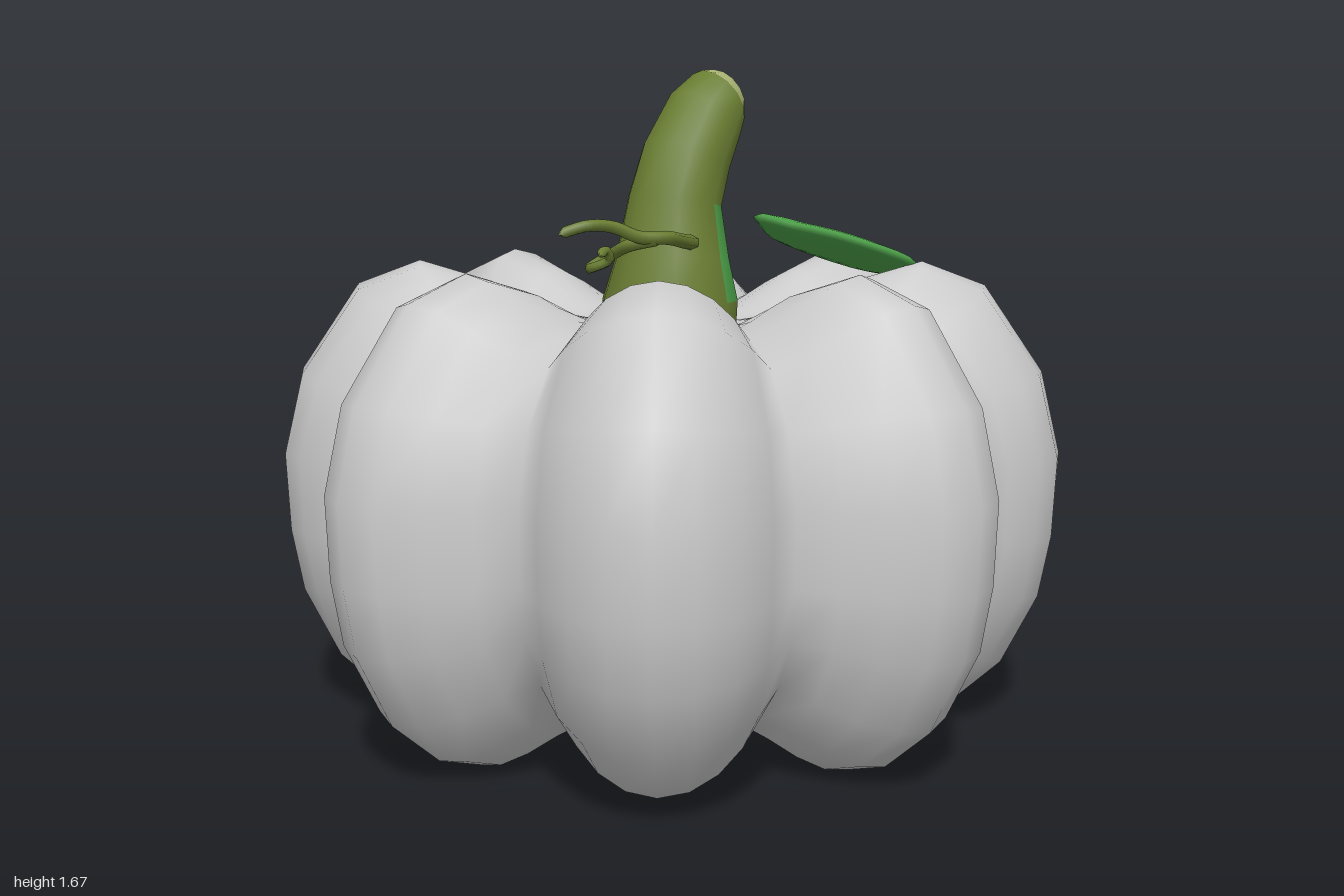
import * as THREE from 'three';
import { mergeVertices } from 'three/addons/utils/BufferGeometryUtils.js';

const paint = (name, color) => {
  const m = new THREE.MeshStandardMaterial({ color });
  m.name = name;
  return m;
};

const V = (x, y, z) => new THREE.Vector3(x, y, z);

// Skin closed rings (bottom to top, counter-clockwise from above).
// pick(row, column) may send a quad to material group 1.
function loft(rings, pick = () => 0) {
  const n = rings[0].length, lists = [[], []];
  for (let i = 0; i < rings.length - 1; i++) {
    for (let j = 0; j < n; j++) {
      const k = (j + 1) % n;
      const a = i * n + j, b = i * n + k, c = a + n, d = b + n;
      lists[pick(i, j)].push(a, b, d, a, d, c);
    }
  }
  let g = new THREE.BufferGeometry().setFromPoints(rings.flat());
  g.setIndex([...lists[0], ...lists[1]]);
  g = mergeVertices(g, 1e-5);
  g.clearGroups();
  g.addGroup(0, lists[0].length, 0);
  g.addGroup(lists[0].length, lists[1].length, 1);
  g.computeVertexNormals();
  return g;
}

// Tube that narrows to a closed tip
function tendril(points, radius) {
  const curve = new THREE.CatmullRomCurve3(points.map(p => V(...p)));
  const steps = 28, sides = 6;
  const g = new THREE.TubeGeometry(curve, steps, radius, sides);
  const pos = g.attributes.position, v = V(0, 0, 0);
  for (let i = 0; i <= steps; i++) {
    const c = curve.getPointAt(i / steps);
    const s = i === steps ? 0 : 1.2 - 0.4 * i / steps;
    for (let j = 0; j <= sides; j++) {
      const k = i * (sides + 1) + j;
      v.fromBufferAttribute(pos, k).sub(c).multiplyScalar(s).add(c);
      pos.setXYZ(k, v.x, v.y, v.z);
    }
  }
  return g;
}

// Ribbed body: blend between a ridge profile and a groove profile
function bodyGeometry() {
  const ridge = [[0, .12], [.25, .11], [.45, .06], [.62, .005], [.74, .045], [.87, .16], [.96, .34], [.99, .5],
    [1, .7], [.95, .91], [.8, 1.13], [.64, 1.19], [.47, 1.14], [.32, 1.06], [.17, 1.03], [0, 1.03]];
  const groove = [[0, .12], [.25, .11], [.4, .11], [.5, .12], [.6, .17], [.7, .27], [.77, .4], [.79, .52],
    [.79, .7], [.75, .86], [.65, .99], [.53, 1.04], [.42, 1.05], [.3, 1.04], [.17, 1.03], [0, 1.03]];
  const lobes = 8, perLobe = 8, n = lobes * perLobe;
  return loft(ridge.map(([rr, ry], i) => {
    const [gr, gy] = groove[i], ring = [];
    for (let j = 0; j < n; j++) {
      const lobe = Math.round(j / perLobe);
      const t = 2 * (j / perLobe - lobe);
      // diagonal lobes are fuller than the others
      const f = Math.pow(Math.max(0, Math.cos(t * Math.PI / 2)), lobe % 2 ? 1 : 1.4);
      const a = j / n * Math.PI * 2;
      const r = gr + (rr - gr) * f, y = gy + (ry - gy) * f;
      ring.push(V(r * Math.sin(a), y, r * Math.cos(a)));
    }
    return ring;
  }));
}

// Ring of the stem: centre x, centre y, radius, lean towards +x in degrees
function stemRing([x, y, r, lean]) {
  const n = 14, l = lean * Math.PI / 180, ring = [];
  for (let j = 0; j < n; j++) {
    const a = Math.PI / 2 + j / n * Math.PI * 2;
    const u = r * Math.sin(a);
    ring.push(V(x + u * Math.cos(l), y - u * Math.sin(l), r * Math.cos(a)));
  }
  return ring;
}

// Lens-shaped leaf on a slope
function leafGeometry() {
  const outline = [[.14, .18], [.19, .24], [.25, .34], [.35, .42], [.43, .45], [.52, .37],
    [.535, .28], [.5, .2], [.36, .1], [.27, .08], [.19, .125], [.145, .155]];
  const pts = new THREE.CatmullRomCurve3(outline.map(([x, z]) => V(x, 0, z)), true).getPoints(24).slice(0, 24);
  const rings = [], cx = .34, cz = .26, steps = 8;
  for (let i = 0; i <= steps; i++) {
    const p = i / steps * Math.PI;
    const s = i === 0 || i === steps ? 0 : Math.sin(p), h = -.028 * Math.cos(p);
    rings.push(pts.map(q => {
      const x = cx + (q.x - cx) * s, z = cz + (q.z - cz) * s;
      return V(x, 1.305 - .4 * (x - .14) + h, z);
    }));
  }
  return loft(rings);
}

export function createModel() {
  const skin = paint('pale skin', 0xcccccc);
  const olive = paint('olive stem', 0x6b7f33);
  const cut = paint('cut stem end', 0xaab574);
  const green = paint('leaf green', 0x4fa54b);

  const model = new THREE.Group();
  model.name = 'pumpkin';
  const add = (name, geometry, material) => {
    const mesh = new THREE.Mesh(geometry, material);
    mesh.name = name;
    model.add(mesh);
  };

  add('body', bodyGeometry(), skin);

  // Bent stem with a green patch where the leaf grows
  const stem = [[0, 1, .17, 0], [0, 1.09, .175, 0], [.01, 1.2, .145, 3], [.018, 1.34, .12, 10],
    [.058, 1.45, .115, 22], [.12, 1.55, .105, 40], [.165, 1.595, .09, 56]];
  const patch = (i, j) => ((i === 1 || i === 2) && j >= 11 ? 1 : 0);
  add('stem', loft(stem.map(stemRing), patch), [olive, green]);

  // Rounded pale end of the stem
  const tip = [stem[6], [.19, 1.612, .07, 60], [.21, 1.618, .04, 66], [.216, 1.62, 0, 66]];
  add('stemEnd', loft(tip.map(stemRing)), cut);

  add('leaf', leafGeometry(), green);

  // Curling vine
  add('vine', tendril([[-.02, 1.24, .11], [-.1, 1.25, .155], [-.18, 1.262, .185], [-.25, 1.265, .165],
    [-.31, 1.29, .14], [-.38, 1.295, .125], [-.44, 1.275, .09]], .016), olive);
  add('vineCurl', tendril([[-.21, 1.26, .18], [-.25, 1.245, .13], [-.245, 1.22, .06], [-.28, 1.19, .025],
    [-.31, 1.19, .06], [-.29, 1.21, .1], [-.31, 1.235, .11], [-.34, 1.22, .12]], .014), olive);

  return model;
}
